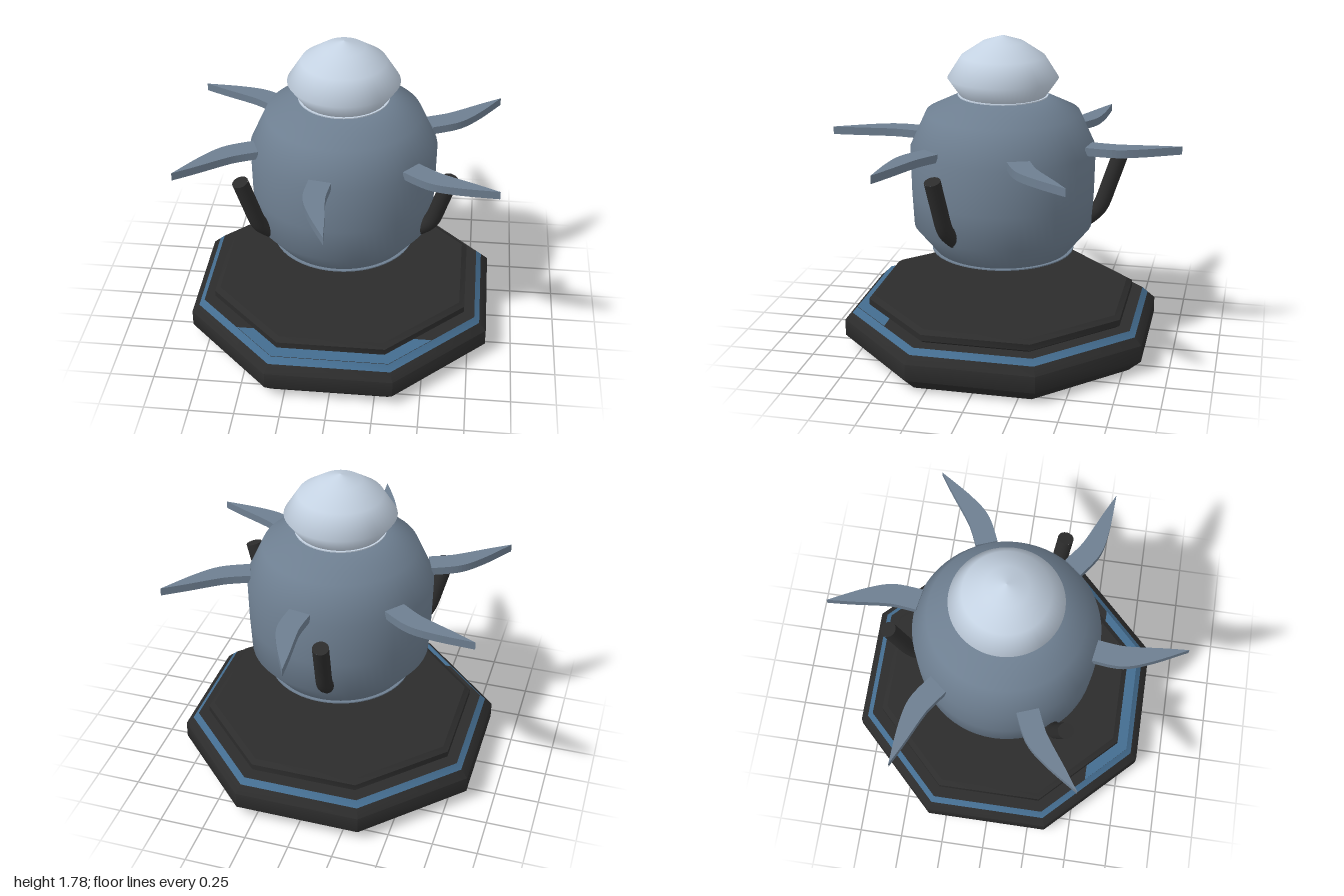
import * as THREE from 'three';
import { toCreasedNormals } from 'three/addons/utils/BufferGeometryUtils.js';

const material = (name, color) => {
  const m = new THREE.MeshStandardMaterial({ color });
  m.name = name;
  return m;
};

const V2 = (list) => list.map(([x, y]) => new THREE.Vector2(x, y));

export function createModel() {
  const group = new THREE.Group();
  const slate = material('slate', 0x6e7f91);
  const pale = material('pale', 0xc4d2e2);
  const black = material('black', 0x2c2c2c);
  const blue = material('blue', 0x446d90);

  const add = (name, geometry, mat, parent = group) => {
    const mesh = new THREE.Mesh(geometry, mat);
    mesh.name = name;
    parent.add(mesh);
    return mesh;
  };

  // Eight-sided band; the profile is [distance to flat side, height]
  const octBand = (profile) => {
    const points = V2(profile.map(([a, y]) => [a / Math.cos(Math.PI / 8), y]));
    return toCreasedNormals(new THREE.LatheGeometry(points, 8, Math.PI / 8), 0.9);
  };

  // Flat octagon at height y, kept only where z >= zMin
  const octPlate = (a, y, zMin = -a, faceDown = false) => {
    const s = a * Math.tan(Math.PI / 8);
    const pts = [[s, a], [-s, a]];
    if (zMin > -a) {
      const w = s + a - zMin;
      pts.push([-w, zMin], [w, zMin]);
    } else {
      pts.push([-a, s], [-a, -s], [-s, -a], [s, -a], [a, -s], [a, s]);
    }
    const g = new THREE.ShapeGeometry(new THREE.Shape(V2(pts.map(([x, z]) => [x, -z]))));
    g.rotateX(-Math.PI / 2);
    if (faceDown) g.scale(1, -1, 1).setIndex([...g.index.array].reverse());
    return g.translate(0, y, 0);
  };

  // Base
  const base = new THREE.Group();
  base.name = 'base';
  group.add(base);
  add('baseSide', octBand([[0.78, 0], [0.85, 0.07], [0.85, 0.165], [0.81, 0.205]]), black, base);
  add('baseStripe', octBand([[0.81, 0.205], [0.78, 0.235]]), blue, base);
  add('baseLedge', octPlate(0.78, 0.235), black, base);
  add('frontLedgePanel', octPlate(0.78, 0.238, 0.555), blue, base);
  add('baseBottom', octPlate(0.78, 0.002, -0.78, true), black, base);
  add('frontBottomPanel', octPlate(0.78, 0, 0.6, true), blue, base);
  add('upperTier', octBand([[0.7, 0.235], [0.72, 0.25], [0.72, 0.285], [0.69, 0.305]]), black, base);
  add('upperTierTop', octPlate(0.69, 0.305), black, base);

  // Floating body
  const bodyProfile = [
    [0.385, 0.562], [0.505, 0.71], [0.515, 0.9], [0.52, 1.16],
    [0.43, 1.357], [0.26, 1.44], [0, 1.452],
  ];
  add('body', new THREE.LatheGeometry(V2(bodyProfile), 64), slate);
  add('bodyRim', new THREE.CylinderGeometry(0.405, 0.405, 0.006, 64).translate(0, 0.562, 0), slate);

  // Domed head
  const headProfile = [[0.238, 1.45], [0.308, 1.55], [0.232, 1.67], [0.115, 1.748], [0, 1.785]];
  add('head', new THREE.LatheGeometry(V2(headProfile), 64), pale);
  add('headRim', new THREE.CylinderGeometry(0.252, 0.252, 0.006, 64).translate(0, 1.452, 0), pale);

  // Six curved blades around the body
  const bladeShape = new THREE.Shape();
  bladeShape.moveTo(0.137, 0.485);
  bladeShape.splineThru(V2([[0.147, 0.65], [0.1, 0.8], [0, 1]]));
  bladeShape.splineThru(V2([[0.01, 0.86], [0.026, 0.7], [0.028, 0.62], [0.015, 0.505]]));
  bladeShape.closePath();
  const bladeGeometry = new THREE.ExtrudeGeometry(bladeShape, {
    depth: 0.045, bevelEnabled: false, curveSegments: 5,
  });
  bladeGeometry.rotateX(-Math.PI / 2).translate(0, 1.164, 0);
  for (let i = 0; i < 6; i++) {
    add('blade' + (i + 1), bladeGeometry, slate).rotation.y = (i * Math.PI) / 3;
  }

  // Three bent rods, leaning outward
  const path = new THREE.CatmullRomCurve3([
    [0.655, 1.112], [0.605, 0.96], [0.558, 0.825], [0.535, 0.79], [0.46, 0.725],
  ].map(([x, y]) => new THREE.Vector3(x, y, 0)));
  const rodGeometry = new THREE.TubeGeometry(path, 20, 0.045, 16);
  const capDirection = path.getTangent(0).negate();
  for (let i = 0; i < 3; i++) {
    const rod = new THREE.Group();
    rod.name = 'rod' + (i + 1);
    rod.rotation.y = THREE.MathUtils.degToRad(-22.4 + i * 120);
    group.add(rod);
    add('rodArm', rodGeometry, black, rod);
    const cap = add('rodTip', new THREE.CircleGeometry(0.045, 16), black, rod);
    cap.position.copy(path.getPoint(0));
    cap.quaternion.setFromUnitVectors(new THREE.Vector3(0, 0, 1), capDirection);
    const end = add('rodFoot', new THREE.SphereGeometry(0.045, 16, 10), black, rod);
    end.position.copy(path.getPoint(1));
  }

  return group;
}
